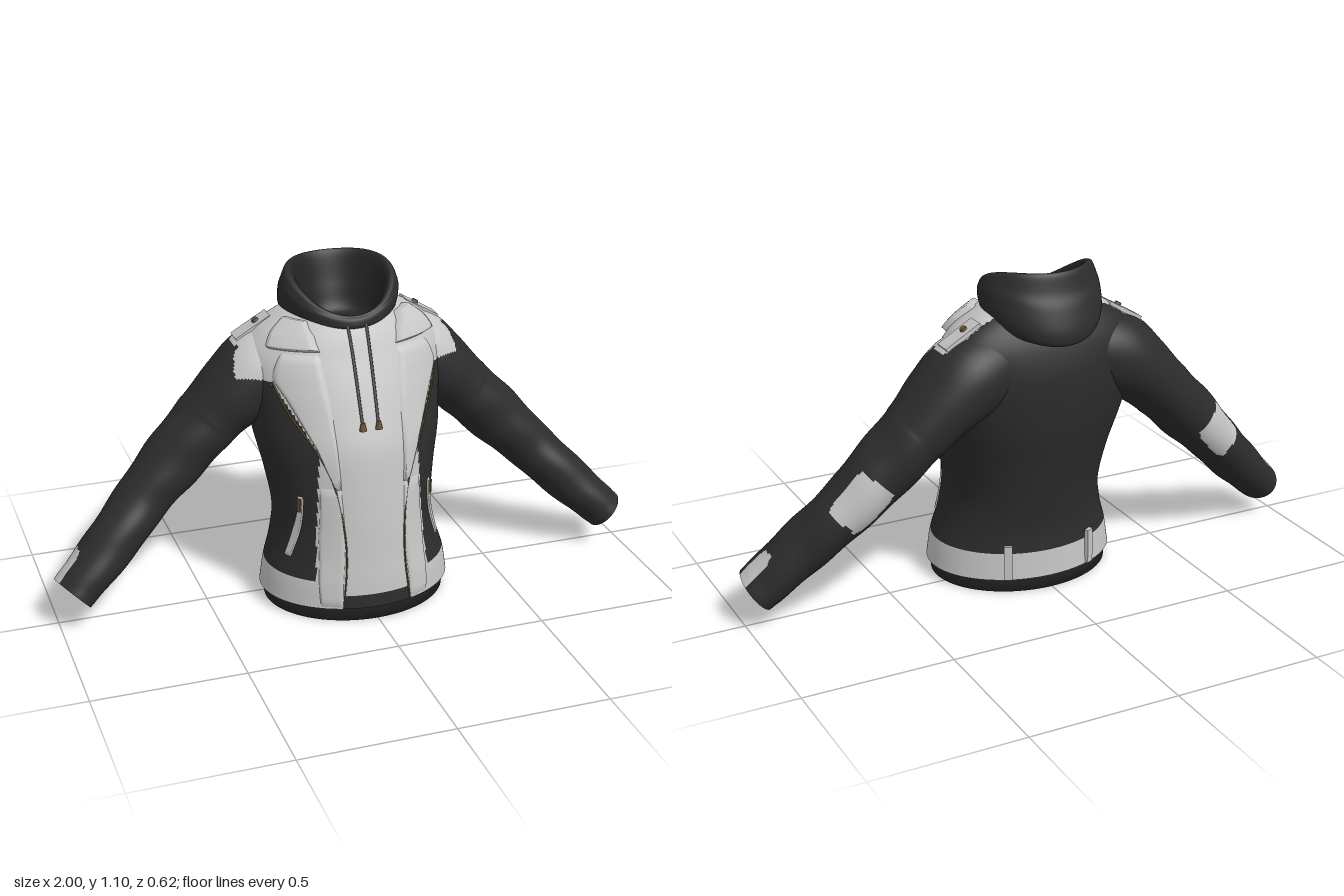
import * as THREE from 'three';

const mat = (name, color) => Object.assign(
  new THREE.MeshStandardMaterial({ color, side: THREE.DoubleSide }), { name });
const charcoal = mat('charcoal cloth', 0x2c2c2c);
const grey = mat('light grey cloth', 0xc6c6c6);
const lining = mat('dark lining', 0x242424);
const bronze = mat('bronze metal', 0x6b5533);
const cordGrey = mat('cord grey', 0x585858);

// Smooth lookup in a table of rows, keyed by each row's first number
function at(rows, key) {
  const n = rows.length - 1;
  const k = Math.min(Math.max(key, rows[0][0]), rows[n][0]);
  let i = 0;
  while (i < n - 1 && k > rows[i + 1][0]) i++;
  const slope = (j, c) => {
    const a = rows[Math.max(j - 1, 0)], b = rows[Math.min(j + 1, n)];
    return (b[c] - a[c]) / (b[0] - a[0]);
  };
  const p = rows[i], q = rows[i + 1], h = q[0] - p[0], t = (k - p[0]) / h;
  const t2 = t * t, t3 = t2 * t;
  return p.map((_, c) => (2 * t3 - 3 * t2 + 1) * p[c] + (t3 - 2 * t2 + t) * h * slope(i, c)
    + (3 * t2 - 2 * t3) * q[c] + (t3 - t2) * h * slope(i + 1, c));
}

// Surface through a grid of points; paint(centre, row) picks a material per cell
function surface(name, n, m, closed, fn, mats, paint = () => 0, side = 1) {
  const pos = [], cols = closed ? m : m + 1, faces = mats.map(() => []), pts = [];
  for (let i = 0; i <= n; i++) for (let j = 0; j < cols; j++) {
    const p = fn(i / n, j / m);
    p.x *= side;
    pts.push(p);
    pos.push(p.x, p.y, p.z);
  }
  for (let i = 0; i < n; i++) for (let j = 0; j < m; j++) {
    const k = closed ? (j + 1) % m : j + 1;
    const a = i * cols + j, b = i * cols + k, c = b + cols, d = a + cols;
    const mid = pts[a].clone().add(pts[c]).multiplyScalar(0.5);
    faces[paint(mid, i / n)].push(...(side > 0 ? [a, b, c, a, c, d] : [a, c, b, a, d, c]));
  }
  const geo = new THREE.BufferGeometry();
  geo.setAttribute('position', new THREE.Float32BufferAttribute(pos, 3));
  geo.setIndex(faces.flat());
  let start = 0;
  faces.forEach((f, i) => { geo.addGroup(start, f.length, i); start += f.length; });
  geo.computeVertexNormals();
  const mesh = new THREE.Mesh(geo, mats.length > 1 ? mats : mats[0]);
  mesh.name = name;
  return mesh;
}

// Torso sections: height, half width, front z, back z, z of the widest point
const TORSO = [
  [0.055, 0.322, 0.31, -0.207, 0.05], [0.14, 0.308, 0.304, -0.203, 0.05],
  [0.22, 0.284, 0.295, -0.2, 0.04], [0.32, 0.268, 0.285, -0.213, 0.03],
  [0.45, 0.285, 0.268, -0.235, 0], [0.58, 0.312, 0.246, -0.262, -0.03],
  [0.68, 0.325, 0.21, -0.272, -0.06], [0.78, 0.338, 0.168, -0.272, -0.08],
  [0.86, 0.333, 0.13, -0.255, -0.1], [0.92, 0.285, 0.102, -0.23, -0.1],
  [0.965, 0.215, 0.075, -0.2, -0.1], [0.98, 0.18, 0.06, -0.19, -0.09]];
function torsoPoint(angle, y, off = 0) {
  const [, a, zf, zb, zc] = at(TORSO, y), c = Math.cos(angle);
  // the upper back is broad and flat
  const flat = 1 - 0.25 * THREE.MathUtils.smoothstep(y, 0.4, 0.75);
  const z = c > 0 ? (zf - zc + off) * c : (zb - zc - off) * Math.pow(-c, flat);
  return new THREE.Vector3((a + off) * Math.sin(angle), y + (y > 0.8 ? off * 0.5 : 0), zc + z);
}
const angleX = (x, y) => Math.asin(Math.min(x / at(TORSO, y)[1], 1));
const angleZ = (z, y) => { const r = at(TORSO, y); return Math.acos((z - r[4]) / (r[2] - r[4])); };

// Sleeve sections: x, y, z, radius in the front plane, radius in depth
const SLEEVE = [
  [0.14, 0.81, -0.105, 0.13, 0.135], [0.26, 0.773, -0.113, 0.14, 0.152],
  [0.35, 0.707, -0.115, 0.122, 0.148], [0.43, 0.633, -0.117, 0.107, 0.132],
  [0.58, 0.485, -0.1, 0.1, 0.113], [0.68, 0.385, -0.08, 0.088, 0.104],
  [0.8, 0.265, -0.03, 0.083, 0.1], [0.952, 0.122, 0.018, 0.07, 0.096]];
function sleevePoint(x, angle, scale = 1) {
  const v3 = (r) => new THREE.Vector3(r[0], r[1], r[2]);
  const r = at(SLEEVE, x), c = v3(r);
  const d = v3(at(SLEEVE, x + 0.01)).sub(v3(at(SLEEVE, x - 0.01))).normalize();
  const v = new THREE.Vector3(0, 0, 1).addScaledVector(d, -d.z).normalize();
  const u = v.clone().cross(d);
  const fold = 1 + 0.018 * Math.sin(x * 48 + angle * 2) * (x > 0.45 && x < 0.93 ? 1 : 0);
  return c.addScaledVector(u, r[3] * scale * fold * Math.cos(angle))
    .addScaledVector(v, r[4] * scale * fold * Math.sin(angle));
}

// Light areas: shoulder yoke, front panels and waistband
const inYoke = (p) => p.z > -0.157 && p.y > Math.min(0.872, 0.79 + Math.max(0, -p.z) * 1.2);
function torsoPaint(p) {
  const x = Math.abs(p.x);
  if (p.y < 0.1 && x < 0.112 && p.z > 0) return 0;
  if (p.y < 0.148 || inYoke(p)) return 1;
  const edge = p.y < 0.58 ? 0.192 - (p.y - 0.15) * 0.06 : 0.166 + (p.y - 0.58) * 0.55;
  return p.z > 0 && x < edge ? 1 : 0;
}
// Light areas: yoke end, elbow patch and cuff tab
function sleevePaint(p) {
  const x = Math.abs(p.x);
  if (x < 0.385 && inYoke(p)) return 1;
  const dx = x - 0.662, dy = p.y - 0.437, dz = p.z + 0.183;
  const along = Math.abs(dx - dy) * 0.7, across = Math.hypot((dx + dy) * 0.7, dz);
  if (along < 0.084 && across < 0.07 - 0.4 * Math.max(0, along - 0.06)) return 1;
  const out = (x - 0.952) * 0.66 + (p.y - 0.122) * 0.75;
  const half = 0.036 - 0.5 * Math.max(0, p.y - 0.235);
  return x > 0.89 && out > 0 && p.y < 0.26 && Math.abs(p.z + (p.y - 0.18) * 0.25) < half ? 1 : 0;
}

// Cloth plate lying on the torso; rows are [height, first angle, last angle]
function flap(name, material, rows, lift, side) {
  const lo = rows[0][0], hi = rows[rows.length - 1][0];
  return surface(name, 24, 12, false, (u, v) => {
    const y = lo + (hi - lo) * u;
    let i = 0;
    while (i < rows.length - 2 && y > rows[i + 1][0]) i++;
    const p = rows[i], q = rows[i + 1], t = (y - p[0]) / (q[0] - p[0]);
    const a = p[1] + (q[1] - p[1]) * t, b = p[2] + (q[2] - p[2]) * t;
    const rim = u === 0 || u === 1 || v === 0 || v === 1;
    return torsoPoint(a + (b - a) * v, y, rim ? -0.002 : lift);
  }, [material], undefined, side);
}
const byX = (rows) => rows.map(([y, a, b]) => [y, angleX(a, y), angleX(b, y)]);

function tube(name, material, points, radius) {
  const mesh = new THREE.Mesh(
    new THREE.TubeGeometry(new THREE.CatmullRomCurve3(points), 48, radius, 6), material);
  mesh.name = name;
  return mesh;
}
function solid(name, geometry, material, position) {
  const mesh = new THREE.Mesh(geometry, material);
  mesh.name = name;
  mesh.position.copy(position);
  return mesh;
}

// Hood rings: half width, front z, front y, back z, back y, side rise
const HOOD = [
  [0, 0.14, 0.07, 0.925, -0.2, 0.895, 0], [1, 0.18, 0.09, 0.95, -0.29, 0.885, 0.03],
  [2, 0.196, 0.09, 0.965, -0.308, 0.925, 0.045], [2.6, 0.198, 0.086, 0.975, -0.285, 1.0, 0.045],
  [3.2, 0.193, 0.079, 0.981, -0.262, 1.045, 0.045],
  [4, 0.178, 0.073, 0.985, -0.243, 1.104, 0.042], [5, 0.152, 0.064, 0.978, -0.224, 1.097, 0.038],
  [6, 0.128, 0.042, 0.95, -0.19, 1, 0.02], [7, 0.1, 0.02, 0.92, -0.15, 0.92, 0],
  [8, 0, -0.06, 0.92, -0.06, 0.92, 0]];

export function createModel() {
  const model = new THREE.Group();
  model.name = 'hooded jacket';
  const TAU = Math.PI * 2;

  model.add(surface('torso', 120, 208, true,
    (u, v) => torsoPoint(v * TAU, 0.055 + u * 0.925), [charcoal, grey], torsoPaint));

  // Inner hem under the waistband, closed below
  const hem = [[0.08, 0.96], [0.01, 0.96], [0.01, 0]];
  model.add(surface('inner hem', 2, 96, true, (u, v) => {
    const [y, s] = hem[Math.round(u * 2)], p = torsoPoint(v * TAU, 0.055, -0.003);
    return new THREE.Vector3(p.x * s, y, 0.05 + (p.z - 0.05) * (s && s + 0.035));
  }, [charcoal, lining], (p, u) => (u < 0.4 ? 0 : 1), -1));

  model.add(surface('hood', 72, 72, true, (u, v) => {
    const [, a, zf, yf, zb, yb, rise] = at(HOOD, u * 8);
    const c = Math.cos(v * TAU), s = Math.sin(v * TAU), f = (1 + c) / 2;
    return new THREE.Vector3(a * s, yb + (yf - yb) * f + rise * s * s, zb + (zf - zb) * f);
  }, [charcoal, lining], (p, u) => (u < 0.56 ? 0 : 1)));

  for (const side of [1, -1]) {
    const label = side > 0 ? 'left ' : 'right ';
    const flip = (p) => { p.x *= side; return p; };
    const on = (x, y, off) => flip(torsoPoint(angleX(x, y), y, off));

    model.add(surface(label + 'sleeve', 140, 110, true,
      (u, v) => sleevePoint(0.14 + u * 0.812, v * TAU), [charcoal, grey], sleevePaint, side));
    // Light inside of the cuff, closed deep in the sleeve
    const inner = [[0.952, 1], [0.945, 0.92], [0.89, 0.88], [0.89, 0]];
    model.add(surface(label + 'cuff lining', 3, 48, true, (u, v) => {
      const [x, s] = inner[Math.round(u * 3)];
      return sleevePoint(x, v * TAU, s);
    }, [grey, lining], (p, u) => (u < 0.6 ? 0 : 1), -side));

    // Front opening, lapel and collar
    model.add(flap(label + 'front edge', grey,
      byX([[0.057, 0.115, 0.185], [0.3, 0.1, 0.18], [0.47, 0.106, 0.17]]), 0.005, side));
    model.add(flap(label + 'lapel', grey, byX([[0.46, 0.105, 0.122], [0.6, 0.11, 0.175],
      [0.74, 0.115, 0.245], [0.8, 0.12, 0.278], [0.88, 0.125, 0.24]]), 0.008, side));
    model.add(flap(label + 'collar', grey,
      byX([[0.885, 0.125, 0.28], [0.93, 0.135, 0.25], [0.968, 0.145, 0.195]]), 0.018, side));
    const zip = [[0.275, 0.79], [0.24, 0.7], [0.18, 0.6], [0.145, 0.53], [0.12, 0.45],
      [0.1, 0.3], [0.1, 0.2], [0.114, 0.06]];
    model.add(tube(label + 'front zip', bronze, zip.map(([x, y]) => on(x, y, 0.003)), 0.003));

    // Slanted side pocket with its puller
    const pocket = [[0.205, 0.135, 0.162], [0.3, 0.145, 0.174], [0.37, 0.16, 0.179], [0.425, 0.162, 0.179]];
    model.add(flap(label + 'pocket', grey,
      pocket.map(([y, a, b]) => [y, angleZ(b, y), angleZ(a, y)]), 0.005, side));
    const pull = solid(label + 'pocket puller', new THREE.BoxGeometry(0.012, 0.045, 0.014), bronze,
      flip(torsoPoint(angleZ(0.17, 0.395), 0.395, 0.004)));
    pull.rotation.y = side * 0.9;
    model.add(pull);

    // Shoulder strap and button
    const strap = solid(label + 'shoulder strap', new THREE.BoxGeometry(0.135, 0.014, 0.062), grey,
      new THREE.Vector3(side * 0.29, 0.916, -0.124));
    strap.rotation.z = -side * 0.53;
    strap.add(solid('strap button', new THREE.CylinderGeometry(0.01, 0.012, 0.009, 12), bronze,
      new THREE.Vector3(-side * 0.02, 0.011, 0)));
    model.add(strap);

    // Drawstring with metal tip
    const drop = [0.955, 0.9, 0.82, 0.74, 0.675];
    model.add(tube(label + 'drawstring', cordGrey,
      drop.map((y, i) => on(0.03 - i * 0.001, y, 0.008)), 0.005));
    model.add(solid(label + 'drawstring tip', new THREE.CylinderGeometry(0.007, 0.012, 0.026, 10),
      bronze, on(0.026, 0.665, 0.011)));

    // Belt loop on the back of the waistband
    const loop = solid(label + 'belt loop', new THREE.BoxGeometry(0.028, 0.12, 0.014), grey,
      flip(torsoPoint(2.65, 0.118, 0.006)));
    loop.rotation.y = side * 2.65;
    model.add(loop);
  }
  return model;
}
